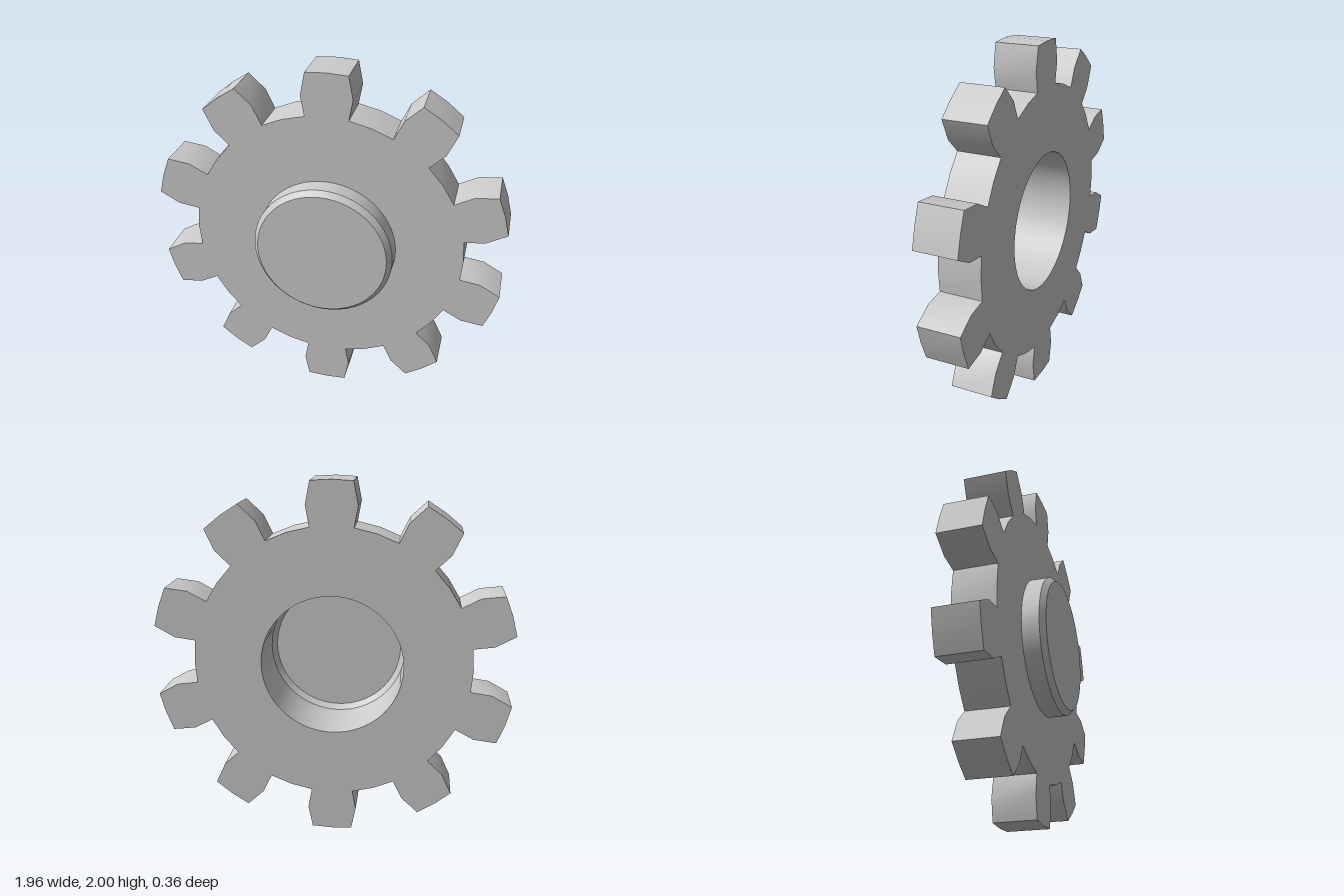
import * as THREE from 'three';
import { toCreasedNormals } from 'three/addons/utils/BufferGeometryUtils.js';

const TEETH = 10;
const BACK = -0.182, FACE = 0.055, FRONT = 0.182;
const HUB_R = 0.391, CAP_R = 0.364;
const CREASE = 0.5;

// One tooth plus the root gap after it: [degrees from the tooth's middle, radius]
const TOOTH = [
  [-8.8, 0.765], [-9, 0.88], [-6.5, 1], [0, 1],
  [6.5, 1], [9, 0.88], [8.8, 0.765], [18, 0.765],
];

function gearShape() {
  const points = [];
  for (let i = 0; i < TEETH; i++) {
    for (const [deg, r] of TOOTH) {
      const a = Math.PI / 2 + (i / TEETH) * Math.PI * 2 + THREE.MathUtils.degToRad(deg);
      points.push(new THREE.Vector2(r * Math.cos(a), r * Math.sin(a)));
    }
  }
  const shape = new THREE.Shape(points);
  shape.holes.push(new THREE.Path().absarc(0, 0, HUB_R, 0, Math.PI * 2, true));
  return shape;
}

export function createModel() {
  const group = new THREE.Group();
  group.name = 'gear';
  group.position.y = 1;

  // Toothed plate with a round bore
  const plateGeometry = new THREE.ExtrudeGeometry(gearShape(), {
    depth: FACE - BACK, bevelEnabled: false, curveSegments: 48,
  });
  plateGeometry.translate(0, 0, BACK);
  const plate = new THREE.Mesh(
    toCreasedNormals(plateGeometry, CREASE),
    new THREE.MeshStandardMaterial({ color: 0xcccccc })
  );
  plate.name = 'toothedPlate';

  // Thin hollow hub cap, chamfered at the front and open to the back
  const profile = [
    [HUB_R, FACE], [HUB_R, 0.152], [CAP_R, FRONT], [0, FRONT],
  ].map(([r, z]) => new THREE.Vector2(r, z));
  const capGeometry = new THREE.LatheGeometry(profile, 96).rotateX(Math.PI / 2);
  const cap = new THREE.Mesh(
    toCreasedNormals(capGeometry, CREASE),
    new THREE.MeshStandardMaterial({ color: 0xcccccc, side: THREE.DoubleSide })
  );
  cap.name = 'hubCap';

  group.add(plate, cap);
  const model = new THREE.Group();
  model.add(group);
  return model;
}
